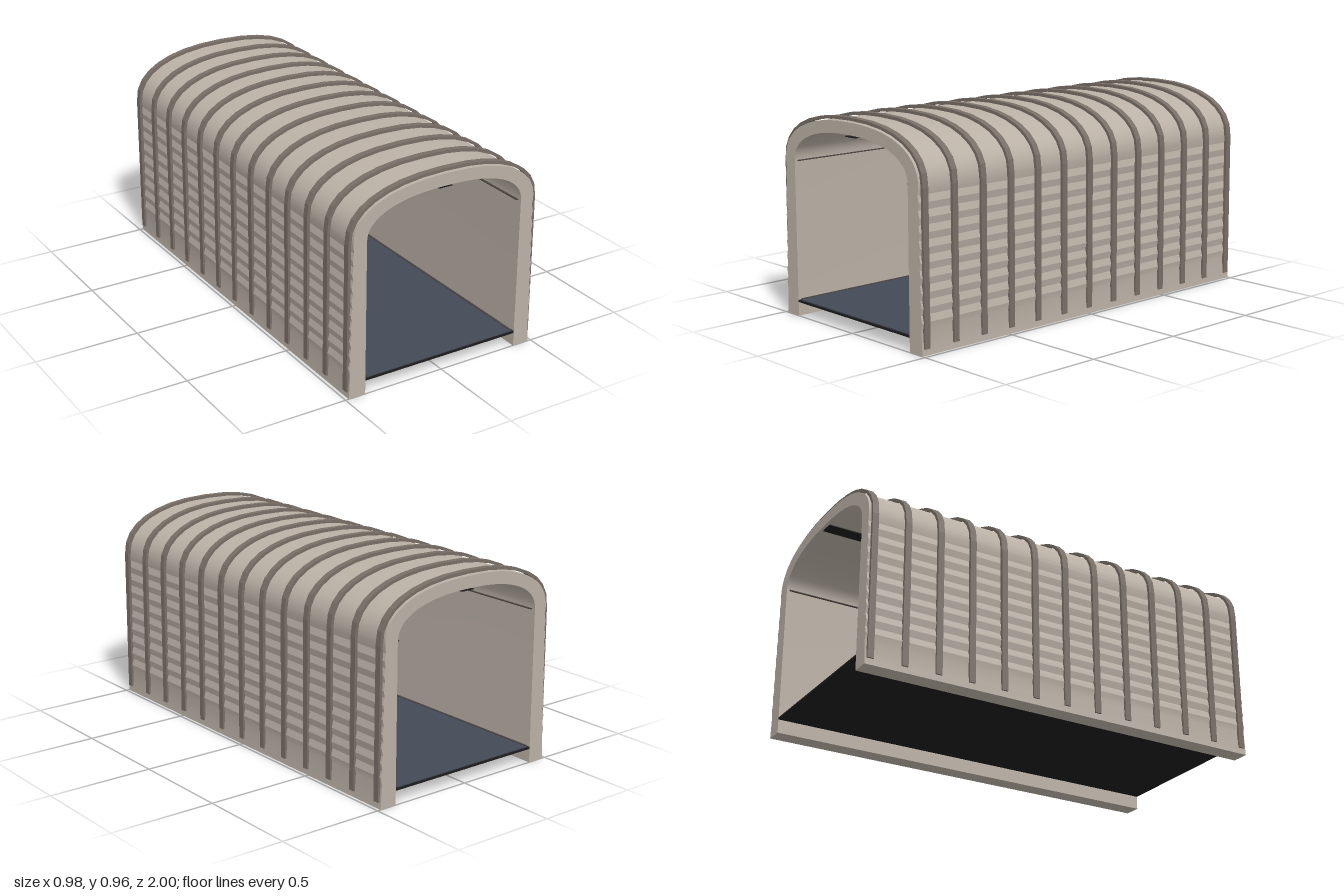
import * as THREE from 'three';
import { toCreasedNormals } from 'three/addons/utils/BufferGeometryUtils.js';

const SPRING = 0.72; // height where the walls turn into the arch

// Points of a squarish arch, from the +x side over the top to the -x side
function arch(a, b, segments) {
  const points = [];
  const power = 2 / 2.35;
  for (let i = 0; i <= segments; i++) {
    const t = (Math.PI * i) / segments;
    const c = Math.cos(t);
    const s = Math.max(0, Math.sin(t));
    points.push([Math.sign(c) * a * Math.abs(c) ** power, SPRING + b * s ** power]);
  }
  return points;
}

// Right half wall (bottom to top), arch, then the mirrored wall
function hoop(wall, a, b, segments) {
  const mirrored = wall.map(([x, y]) => [-x, y]).reverse();
  return [...wall, ...arch(a, b, segments), ...mirrored];
}

// Band between an outer and an inner hoop, extruded along z and centred
function band(outer, inner, depth, crease) {
  const outline = [...outer, ...inner.slice().reverse()].map(([x, y]) => new THREE.Vector2(x, y));
  const geometry = new THREE.ExtrudeGeometry(new THREE.Shape(outline), { depth, bevelEnabled: false });
  geometry.translate(0, 0, -depth / 2);
  return toCreasedNormals(geometry, crease);
}

export function createModel() {
  const model = new THREE.Group();
  model.name = 'archedTunnel';

  const material = (name, color) => {
    const m = new THREE.MeshStandardMaterial({ color });
    m.name = name;
    return m;
  };
  const shellMaterial = material('warm grey shell', 0xbbb1a6);
  const ribMaterial = material('brown grey rib', 0x786e66);
  const carpetMaterial = material('slate carpet', 0x444a56);
  const darkMaterial = material('near black', 0x1c1c1e);
  const trimMaterial = material('dark trim', 0x4a4541);

  const add = (name, geometry, mat, x = 0, y = 0, z = 0) => {
    const mesh = new THREE.Mesh(geometry, mat);
    mesh.name = name;
    mesh.position.set(x, y, z);
    model.add(mesh);
  };
  const box = (name, w, h, d, mat, x, y) => add(name, new THREE.BoxGeometry(w, h, d), mat, x, y);

  // Shell: tapering walls with horizontal ripples under a smooth arch
  const wall = [[0.484, 0]];
  const ripples = 10;
  const pitch = 0.064;
  for (let i = ripples * 2 - 1; i > 0; i--) {
    const y = SPRING - (i * pitch) / 2;
    const lean = 0.466 + 0.018 * (1 - y / SPRING);
    wall.push([lean + (i % 2 ? -0.004 : 0.003), y]);
  }
  add('shell', band(hoop(wall, 0.468, 0.223, 48), hoop([[0.4, 0]], 0.4, 0.167, 48), 2, 0.3), shellMaterial);

  // Thirteen ribs standing just clear of the shell
  const ribGeometry = band(
    hoop([[0.49, 0.03]], 0.486, 0.243, 16),
    hoop([[0.476, 0.03]], 0.472, 0.229, 16),
    0.03, 0.1);
  for (let i = 0; i < 13; i++) add('rib', ribGeometry, ribMaterial, 0, 0, -0.975 + i * 0.1625);

  // Floor slab with its covering
  box('floorSlab', 0.8, 0.01, 2, darkMaterial, 0, 0.07);
  box('floorCovering', 0.78, 0.005, 1.99, carpetMaterial, 0, 0.0775);

  // Long strips on the floor edges, at the springing line and on the ceiling
  for (const side of [-1, 1]) {
    box('floorStrip', 0.01, 0.004, 1.98, trimMaterial, side * 0.386, 0.081);
    box('wallStrip', 0.01, 0.004, 1.98, trimMaterial, side * 0.388, 0.725);
  }
  box('ceilingStrip', 0.068, 0.004, 1.98, darkMaterial, 0, 0.877);

  return model;
}
